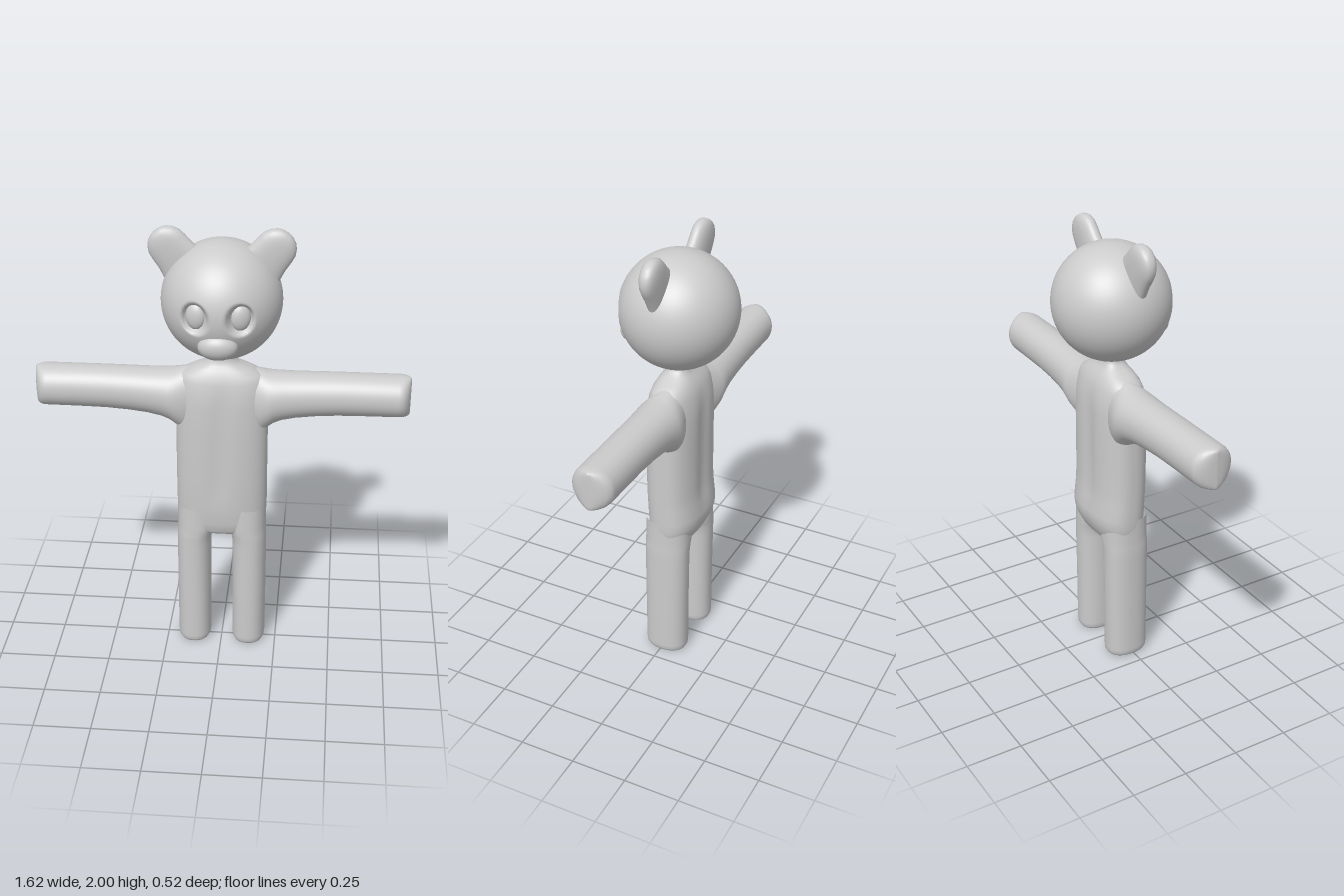
import * as THREE from 'three';

const material = new THREE.MeshStandardMaterial({ color: 0xcccccc });

// Smooth tube along y; each section is [y, centreX, centreZ, halfX, halfZ].
// power 2 gives ellipses, larger values squarer sections.
function loft(sections, power = 2, n = 48) {
  const pos = [], index = [];
  const bend = v => Math.sign(v) * Math.abs(v) ** (2 / power);
  sections.forEach(([y, cx, cz, hx, hz]) => {
    for (let j = 0; j < n; j++) {
      const a = (j / n) * Math.PI * 2;
      pos.push(cx + hx * bend(Math.cos(a)), y, cz + hz * bend(Math.sin(a)));
    }
  });
  for (let i = 0; i < sections.length - 1; i++) {
    for (let j = 0; j < n; j++) {
      const a = i * n + j, b = i * n + ((j + 1) % n);
      index.push(a, a + n, b, b, a + n, b + n);
    }
  }
  const g = new THREE.BufferGeometry();
  g.setAttribute('position', new THREE.Float32BufferAttribute(pos, 3));
  g.setIndex(index);
  g.computeVertexNormals();
  return g;
}

// Mirror a geometry across x and restore its winding.
function mirrored(geometry) {
  const g = geometry.clone().scale(-1, 1, 1);
  const ix = g.index;
  for (let i = 0; i < ix.count; i += 3) {
    const b = ix.getX(i + 1);
    ix.setX(i + 1, ix.getX(i + 2));
    ix.setX(i + 2, b);
  }
  g.computeVertexNormals();
  return g;
}

function ellipsoid(rx, ry, rz) {
  return new THREE.SphereGeometry(1, 40, 28).scale(rx, ry, rz);
}

export function createModel() {
  const model = new THREE.Group();
  model.name = 'bearFigure';
  const add = (name, geometry) => {
    const mesh = new THREE.Mesh(geometry, material);
    mesh.name = name;
    model.add(mesh);
  };
  const addPair = (name, geometry) => {
    add('left' + name, geometry);
    add('right' + name, mirrored(geometry));
  };

  // Torso with seat bulge, sloping shoulders and neck
  const torso = loft([
    [0.58, 0, -0.01, 0.13, 0],
    [0.582, 0, -0.01, 0.15, 0.05],
    [0.592, 0, -0.01, 0.17, 0.08],
    [0.61, 0, -0.011, 0.185, 0.096],
    [0.65, 0, -0.018, 0.196, 0.109],
    [0.69, 0, -0.022, 0.199, 0.117],
    [0.73, 0, -0.021, 0.2, 0.119],
    [0.79, 0, -0.016, 0.2, 0.116],
    [0.86, 0, -0.012, 0.2, 0.115],
    [1.0, 0, -0.011, 0.2, 0.116],
    [1.12, 0, -0.011, 0.2, 0.116],
    [1.22, 0, -0.011, 0.2, 0.115],
    [1.28, 0, -0.011, 0.2, 0.109],
    [1.33, 0, -0.01, 0.194, 0.098],
    [1.36, 0, -0.009, 0.175, 0.087],
    [1.385, 0, -0.008, 0.125, 0.073],
    [1.402, 0, -0.007, 0.083, 0.06],
    [1.42, 0, -0.006, 0.061, 0.051],
    [1.44, 0, -0.005, 0.055, 0.048],
    [1.48, 0, -0.005, 0.058, 0.05],
  ], 2.5, 96);
  // Shallow groove down the chest and spine
  const tp = torso.attributes.position;
  for (let i = 0; i < tp.count; i++) {
    const y = tp.getY(i);
    const fade = THREE.MathUtils.smoothstep(y, 0.72, 0.88) * (1 - THREE.MathUtils.smoothstep(y, 1.2, 1.36));
    tp.setZ(i, tp.getZ(i) * (1 - 0.09 * fade * Math.exp(-((tp.getX(i) / 0.045) ** 2))));
  }
  torso.computeVertexNormals();
  add('torso', torso);

  // Arms, flared at the armpit, hand ends domed front to back
  // rows: x, lower y, upper y, half depth
  const arm = loft([
    [0.1, 1.06, 1.385, 0.08],
    [0.17, 1.085, 1.37, 0.1],
    [0.2, 1.108, 1.363, 0.108],
    [0.225, 1.128, 1.36, 0.108],
    [0.26, 1.143, 1.359, 0.104],
    [0.32, 1.156, 1.358, 0.099],
    [0.4, 1.166, 1.359, 0.096],
    [0.5, 1.173, 1.36, 0.094],
    [0.62, 1.175, 1.36, 0.093],
    [0.755, 1.176, 1.36, 0.093],
    [0.775, 1.176, 1.36, 0.088],
    [0.79, 1.177, 1.358, 0.073],
    [0.801, 1.179, 1.356, 0.05],
    [0.807, 1.183, 1.352, 0.026],
    [0.809, 1.19, 1.345, 0],
  ].map(([x, lo, hi, d]) => [x, -(lo + hi) / 2, -0.015, (hi - lo) / 2, d]), 2.1);
  addPair('Arm', arm.rotateZ(-Math.PI / 2));

  // Legs with softly rounded soles
  addPair('Leg', loft([
    [0.005, 0.125, -0.008, 0, 0],
    [0.005, 0.125, -0.008, 0.058, 0.08],
    [0.009, 0.125, -0.008, 0.067, 0.089],
    [0.02, 0.125, -0.008, 0.073, 0.095],
    [0.04, 0.125, -0.008, 0.075, 0.097],
    [0.3, 0.125, -0.008, 0.076, 0.098],
    [0.52, 0.125, -0.009, 0.076, 0.1],
    [0.56, 0.123, -0.009, 0.078, 0.101],
    [0.585, 0.118, -0.009, 0.082, 0.102],
    [0.62, 0.11, -0.01, 0.088, 0.102],
    [0.72, 0.11, -0.011, 0.088, 0.102],
  ], 2.3));

  // Head, pressed in around each eye
  const head = new THREE.SphereGeometry(0.255, 160, 112).translate(0, 1.69, -0.006);
  const hp = head.attributes.position;
  for (let i = 0; i < hp.count; i++) {
    if (hp.getZ(i) < 0) continue;
    const r = Math.hypot((Math.abs(hp.getX(i)) - 0.092) / 0.062, (hp.getY(i) - 1.685) / 0.075);
    hp.setZ(i, hp.getZ(i) - 0.042 * (1 - THREE.MathUtils.smoothstep(r, 0.55, 1)));
  }
  head.computeVertexNormals();
  add('head', head);

  // Eyes set into the sockets
  addPair('Eye', ellipsoid(0.042, 0.056, 0.026).rotateY(0.3).translate(0.092, 1.685, 0.187));

  // Nose, tilted to follow the face
  add('nose', ellipsoid(0.083, 0.058, 0.05).rotateX(0.35).translate(0, 1.56, 0.207));

  // Flat rounded ears, widening into the head
  const ear = loft([
    [-0.16, 0, 0, 0.11, 0.036],
    [-0.09, 0, 0, 0.098, 0.038],
    [-0.045, 0, 0, 0.089, 0.039],
    [0, 0, 0, 0.086, 0.039],
    [0.03, 0, 0, 0.081, 0.038],
    [0.055, 0, 0, 0.067, 0.035],
    [0.072, 0, 0, 0.049, 0.029],
    [0.081, 0, 0, 0.031, 0.021],
    [0.085, 0, 0, 0.014, 0.011],
    [0.086, 0, 0, 0, 0],
  ], 2.3);
  addPair('Ear', ear.rotateZ(-0.67).translate(0.22, 1.914, 0));

  return model;
}
